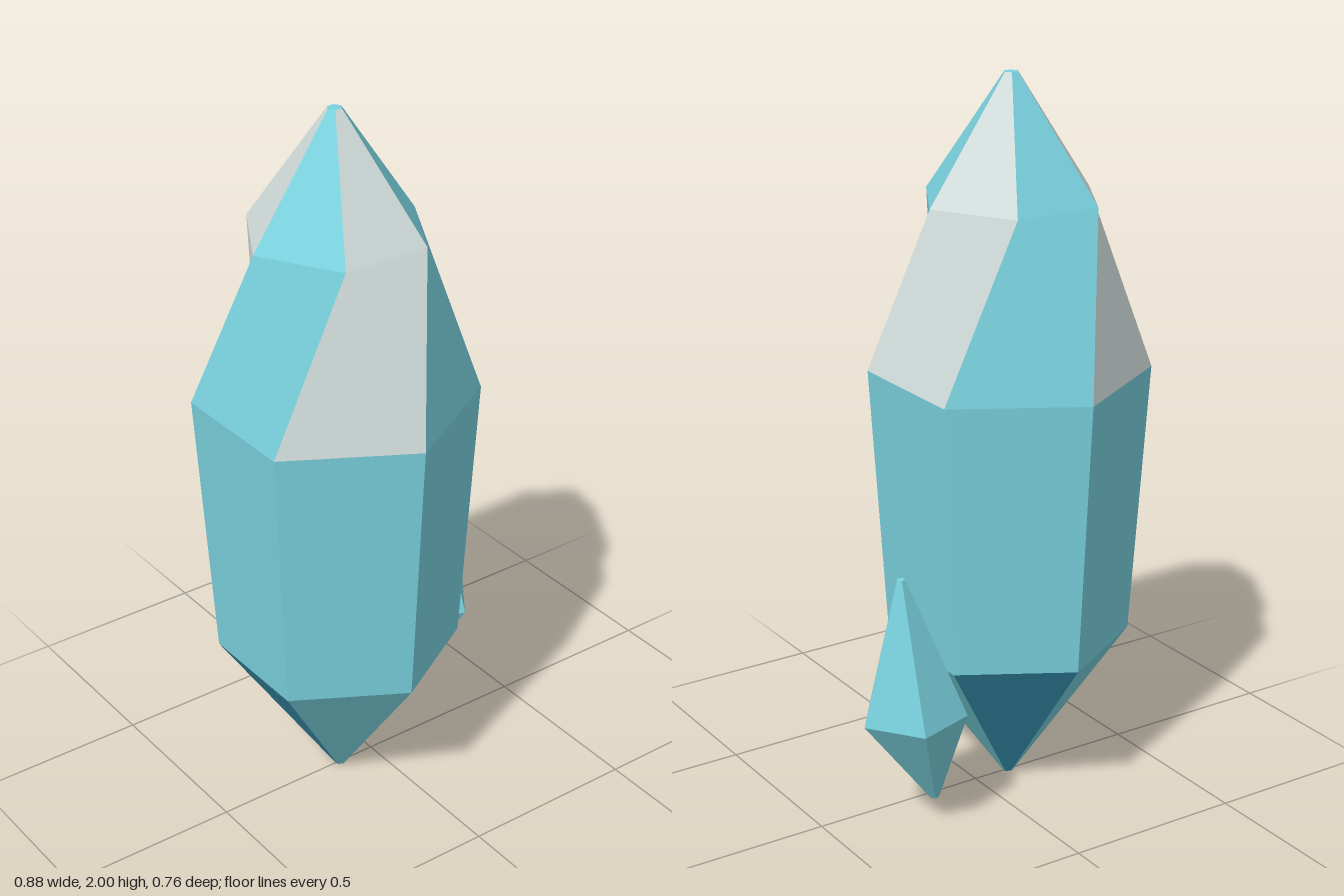
import * as THREE from 'three';

const teal = new THREE.MeshStandardMaterial({ name: 'teal', color: 0x7ad2df });
const pale = new THREE.MeshStandardMaterial({ name: 'pale grey', color: 0xd3dfdd });
const deep = new THREE.MeshStandardMaterial({ name: 'deep blue', color: 0x3893b1 });

// Corners of one ring; turn is the angle of the first corner in degrees
function ringPoints(sides, { x, y, z, r, turn }) {
  return Array.from({ length: sides }, (_, k) => {
    const a = THREE.MathUtils.degToRad(turn) + (k / sides) * Math.PI * 2;
    return new THREE.Vector3(x + r * Math.sin(a), y, z + r * Math.cos(a));
  });
}

// Each polygon is fanned from its first corner and keeps a single normal
function facetGeometry(polygons) {
  const positions = [], normals = [];
  for (const p of polygons) {
    const n = new THREE.Vector3().crossVectors(
      p[2].clone().sub(p[0]), p[3].clone().sub(p[1])).normalize();
    for (let i = 1; i < p.length - 1; i++) {
      for (const v of [p[0], p[i], p[i + 1]]) {
        positions.push(v.x, v.y, v.z);
        normals.push(n.x, n.y, n.z);
      }
    }
  }
  const g = new THREE.BufferGeometry();
  g.setAttribute('position', new THREE.Float32BufferAttribute(positions, 3));
  g.setAttribute('normal', new THREE.Float32BufferAttribute(normals, 3));
  return g;
}

// Skins rings from bottom to top; paint(band, side) picks the facet material
function crystal(name, sides, rings, paint) {
  const loops = rings.map((ring) => ringPoints(sides, ring));
  const byMaterial = new Map();
  const add = (material, polygon) => {
    if (!byMaterial.has(material)) byMaterial.set(material, []);
    byMaterial.get(material).push(polygon);
  };
  for (let b = 0; b < loops.length - 1; b++) {
    for (let k = 0; k < sides; k++) {
      const n = (k + 1) % sides;
      add(paint(b, k), [loops[b][k], loops[b][n], loops[b + 1][n], loops[b + 1][k]]);
    }
  }
  // Tiny blunt caps at both tips
  add(teal, [...loops[0]].reverse());
  add(teal, loops[loops.length - 1]);

  const group = new THREE.Group();
  group.name = name;
  for (const [material, polygons] of byMaterial) {
    const mesh = new THREE.Mesh(facetGeometry(polygons), material);
    mesh.name = `${name} ${material.name} facets`;
    group.add(mesh);
  }
  return group;
}

export function createModel() {
  const model = new THREE.Group();
  model.name = 'crystal cluster';

  // Large six-sided crystal whose upper rings twist by half a side
  const main = [
    [0, 0.016, -60], [0.435, 0.333, -60], [1.2, 0.381, -60],
    [1.67, 0.25, -30], [2, 0.02, -30],
  ].map(([y, r, turn]) => ({ x: -0.11, y, z: 0, r, turn }));
  model.add(crystal('large crystal', 6, main, (band, side) => {
    if (band === 0) return side % 2 ? deep : teal;
    if (band >= 2) return side % 2 ? teal : pale;
    return teal;
  }));

  // Small leaning five-sided crystal
  const small = [
    [0.222, 0.07, 0.012], [0.29, 0.337, 0.148], [0.321, 0.735, 0.012],
  ].map(([x, y, r]) => ({ x, y, z: -0.135, r, turn: 90 }));
  model.add(crystal('small crystal', 5, small, () => teal));

  return model;
}
